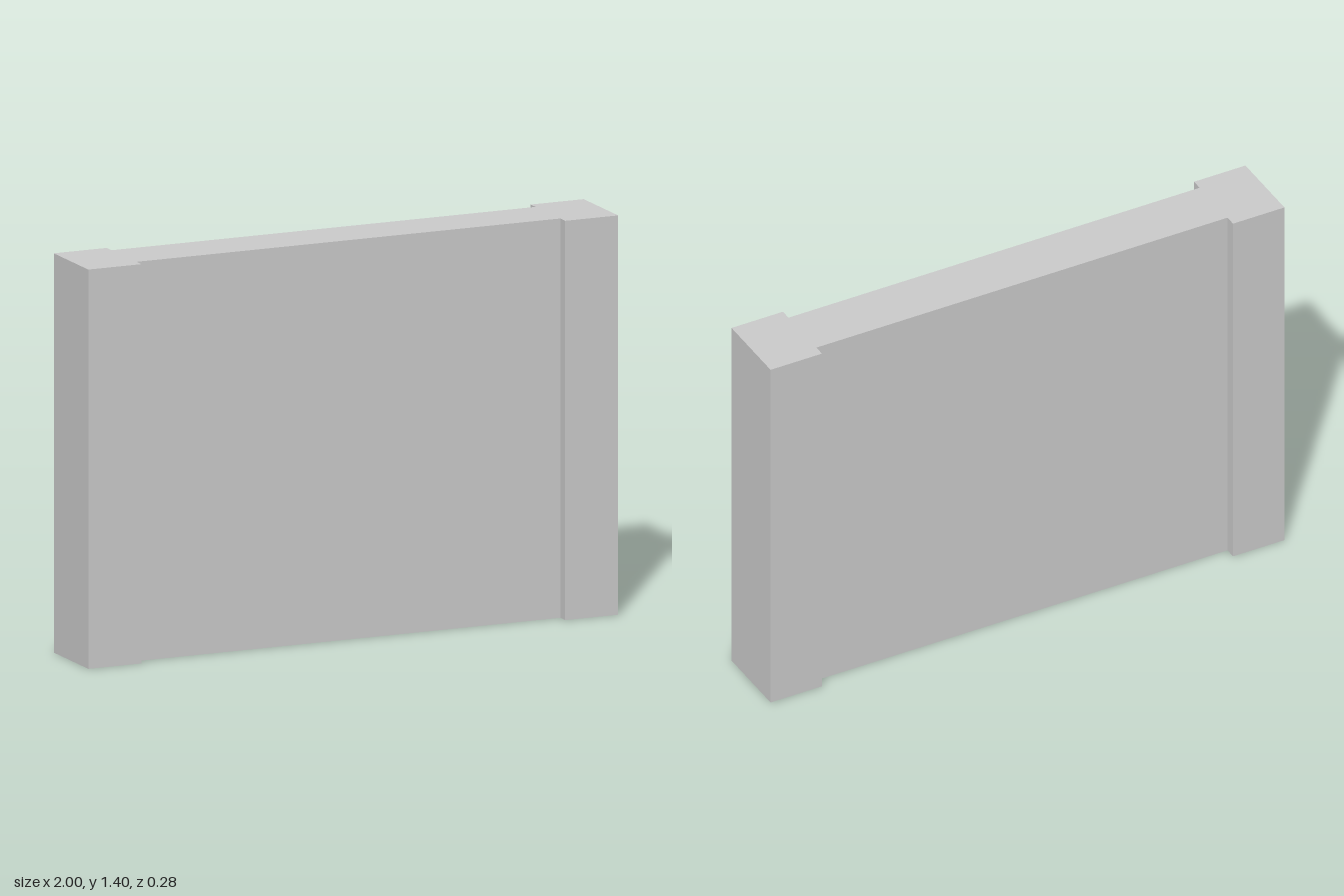
import * as THREE from 'three';

const HEIGHT = 1.4;
const HALF_WIDTH = 1;
const PANEL_HALF_WIDTH = 0.8;
const POST_HALF_DEPTH = 0.14;
const PANEL_HALF_DEPTH = 0.1;

export function createModel() {
  const group = new THREE.Group();
  group.name = 'wall';

  // One quarter of the floor plan: thin panel stepping out to a thicker end post
  const quarter = [
    [HALF_WIDTH, POST_HALF_DEPTH],
    [PANEL_HALF_WIDTH, POST_HALF_DEPTH],
    [PANEL_HALF_WIDTH, PANEL_HALF_DEPTH],
  ];

  // Mirror it across both axes into a closed outline
  const half = [...quarter, ...quarter.map(([x, z]) => [-x, z]).reverse()];
  const outline = [...half, ...half.map(([x, z]) => [x, -z]).reverse()];
  const plan = new THREE.Shape(outline.map(([x, z]) => new THREE.Vector2(x, z)));

  // Raise the plan into a solid wall with an end post on each side
  const geometry = new THREE.ExtrudeGeometry(plan, { depth: HEIGHT, bevelEnabled: false });
  geometry.rotateX(-Math.PI / 2);

  const wall = new THREE.Mesh(geometry, new THREE.MeshStandardMaterial({ color: 0xcccccc }));
  wall.name = 'panelWithEndPosts';
  group.add(wall);
  return group;
}
